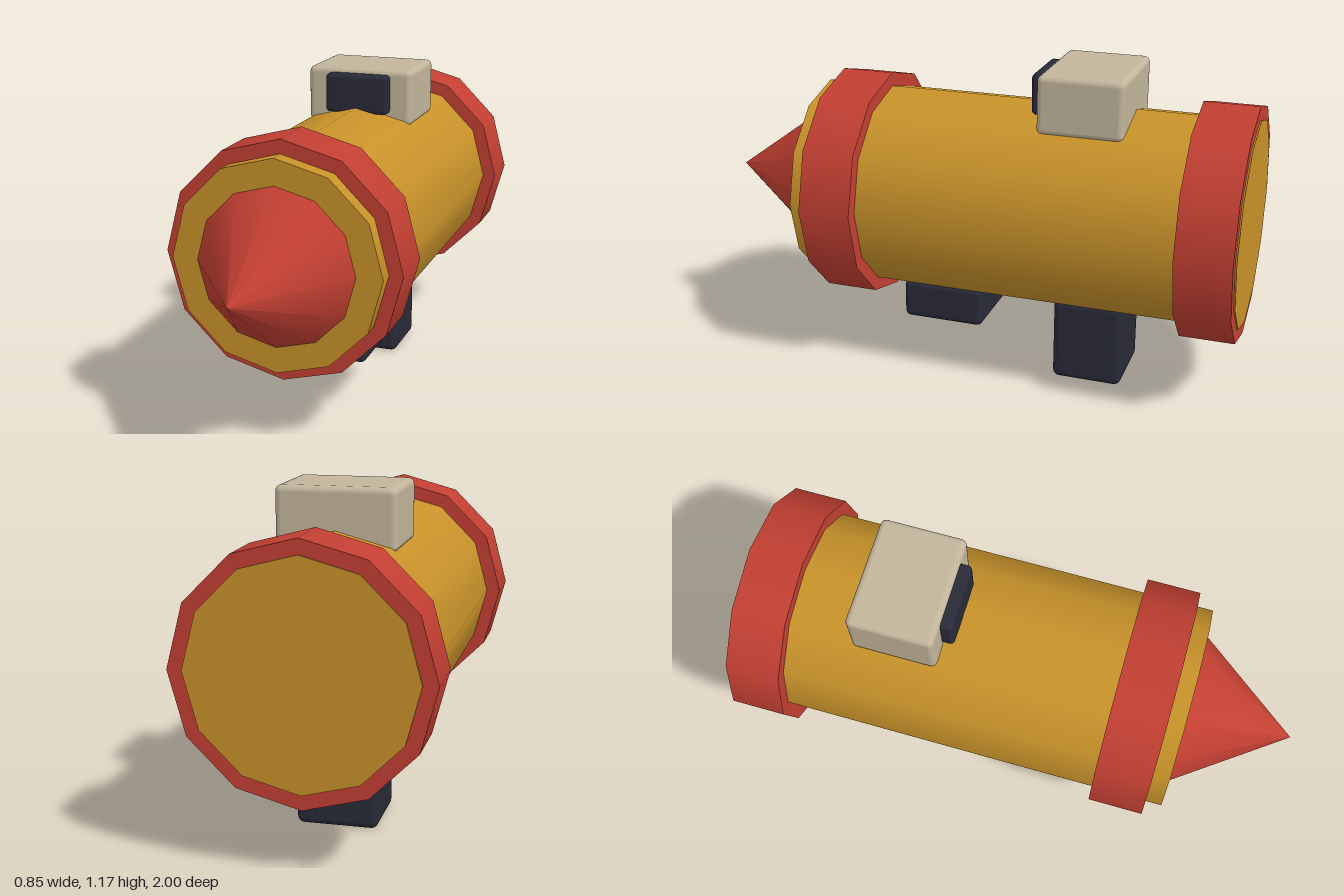
import * as THREE from 'three';
import { RoundedBoxGeometry } from 'three/addons/geometries/RoundedBoxGeometry.js';

const SIDES = 12;
const AXIS_Y = 0.651;

export function createModel() {
  const model = new THREE.Group();
  const paint = (color) => new THREE.MeshStandardMaterial({ color });
  const gold = paint(0xc8922a);
  const red = paint(0xc23f32);
  const beige = paint(0xc2b59b);
  const dark = paint(0x282a38);

  // Twelve-sided part lying along z, from z0 (back) to z1 (front)
  function barrel(name, material, rFront, rBack, z0, z1) {
    const geometry = new THREE.CylinderGeometry(rFront, rBack, z1 - z0, SIDES);
    geometry.rotateX(Math.PI / 2);
    const mesh = new THREE.Mesh(geometry, material);
    mesh.name = name;
    mesh.position.set(0, AXIS_Y, (z0 + z1) / 2);
    model.add(mesh);
  }

  // Soft-edged box centred on x, given by its y and z ranges
  function block(name, material, width, y0, y1, z0, z1, radius) {
    const geometry = new RoundedBoxGeometry(width, y1 - y0, z1 - z0, 3, radius);
    const mesh = new THREE.Mesh(geometry, material);
    mesh.name = name;
    mesh.position.set(0, (y0 + y1) / 2, (z0 + z1) / 2);
    model.add(mesh);
  }

  // Tube body, end bands and pointed nose
  barrel('body', gold, 0.375, 0.375, -1, 0.61);
  barrel('frontBand', red, 0.425, 0.425, 0.355, 0.55);
  barrel('rearBand', red, 0.425, 0.425, -0.995, -0.8);
  barrel('noseCone', red, 0, 0.282, 0.61, 1);

  // Sight housing with its dark lens on top
  block('sightHousing', beige, 0.41, 0.958, 1.17, -0.57, -0.262, 0.022);
  block('sightLens', dark, 0.246, 1.004, 1.152, -0.3, -0.22, 0.016);

  // Shoulder pad and grip underneath
  block('frontPad', dark, 0.39, 0.185, 0.332, -0.06, 0.246, 0.022);
  block('rearGrip', dark, 0.284, 0, 0.315, -0.58, -0.322, 0.025);

  return model;
}
